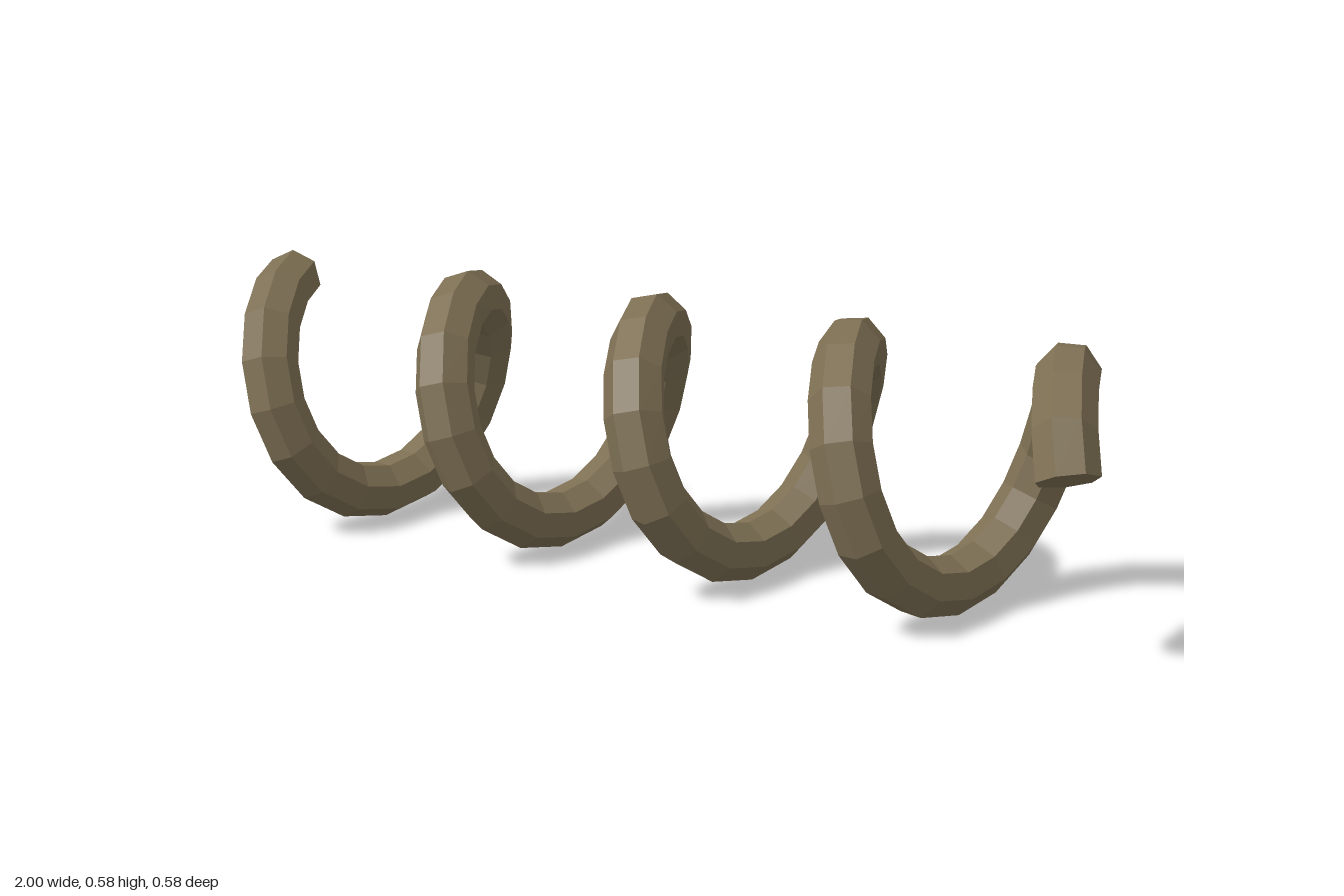
import * as THREE from 'three';

const SEGMENTS_PER_TURN = 16;
const SEGMENTS = 67; // a little over four turns
const SIDES = 7;
const COIL_RADIUS = 0.226;
const WIRE_RADIUS = 0.062;
const PITCH = 0.45;

// Helix along x, starting at the top and turning towards the front
class Helix extends THREE.Curve {
  getPoint(t, target = new THREE.Vector3()) {
    const turns = (t * SEGMENTS) / SEGMENTS_PER_TURN;
    const half = SEGMENTS / SEGMENTS_PER_TURN / 2;
    const angle = turns * Math.PI * 2;
    return target.set(
      (turns - half) * PITCH,
      0.285 + COIL_RADIUS * Math.cos(angle),
      COIL_RADIUS * Math.sin(angle)
    );
  }
}

export function createModel() {
  const group = new THREE.Group();
  group.name = 'spring';

  const geometry = new THREE.TubeGeometry(new Helix(), SEGMENTS, WIRE_RADIUS, SIDES, false);

  // Close both cut ends with a fan over the first and last ring
  const index = Array.from(geometry.index.array);
  const last = SEGMENTS * (SIDES + 1);
  for (let j = 1; j < SIDES - 1; j++) {
    index.push(0, j, j + 1);
    index.push(last, last + j + 1, last + j);
  }
  geometry.setIndex(index);

  const flat = geometry.toNonIndexed();
  flat.computeVertexNormals();

  const material = new THREE.MeshStandardMaterial({ color: 0x7d6f53, flatShading: true });
  const coil = new THREE.Mesh(flat, material);
  coil.name = 'coil';
  group.add(coil);
  return group;
}
